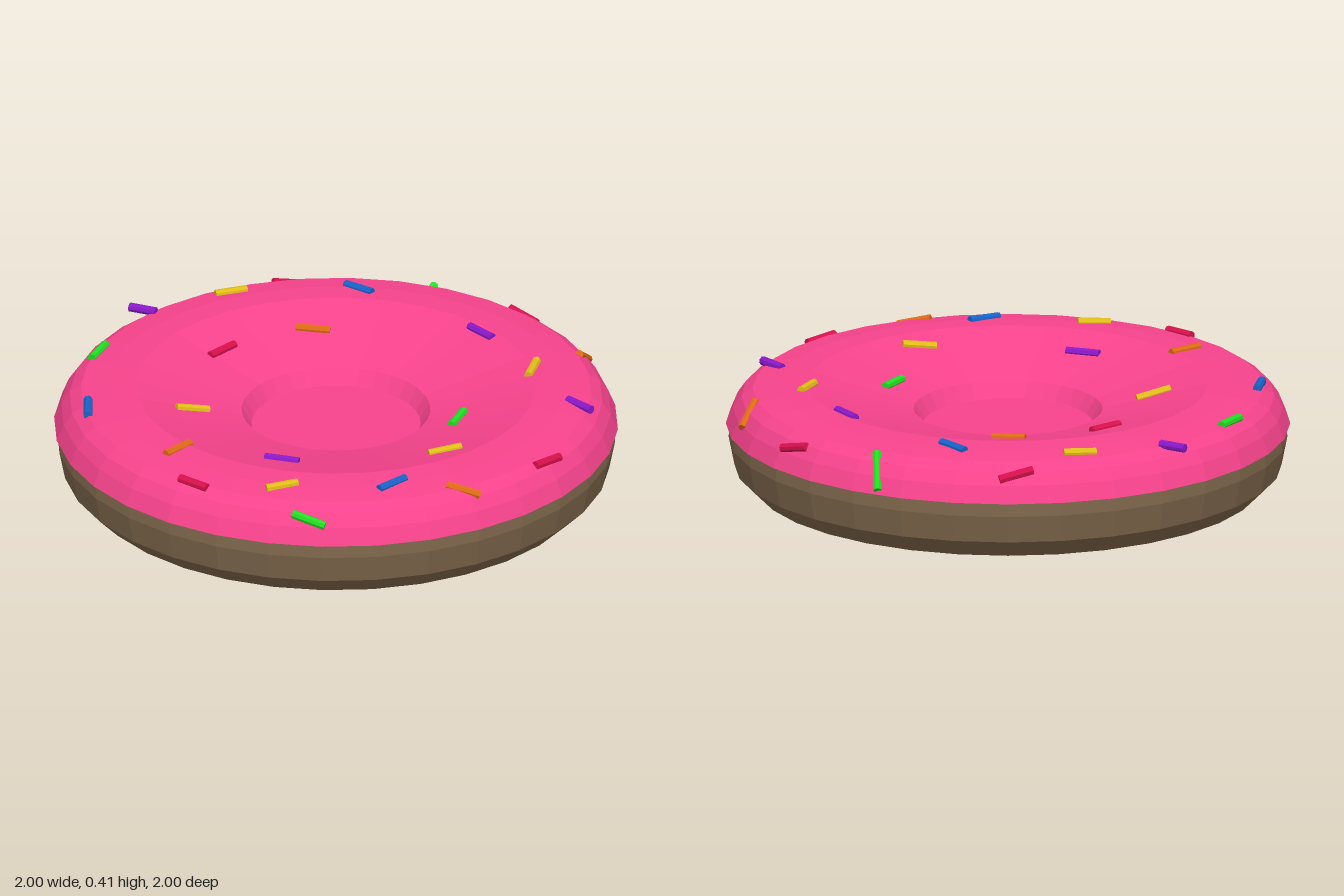
import * as THREE from 'three';

const SEGMENTS = 32;
const v2 = ([r, y]) => new THREE.Vector2(r, y);

// Profiles as [radius, height], running upwards so faces point outwards
const doughProfile = [[0.335, 0.125], [0.8, 0], [0.9, 0.03], [0.97, 0.1], [0.99, 0.2], [0.985, 0.26]];
const icingProfile = [
  [0.98, 0.25], [1, 0.25], [0.975, 0.31], [0.945, 0.352], [0.905, 0.38],
  [0.81, 0.393], [0.71, 0.397], [0.335, 0.305], [0.3, 0.25], [0, 0.25],
];
const innerProfile = [[0, 0.249], [0.3, 0.249], [0.335, 0.125]];

const colors = {
  red: 0xd8104c, green: 0x22dd22, blue: 0x1763c8,
  yellow: 0xe0bc18, purple: 0x8a18c8, orange: 0xdc6a14,
};

// Sprinkles: color, then x and z of both ends; a last number fixes the height
const sprinkles = [
  ['red', -0.44, -0.83, -0.34, -0.90],
  ['green', 0.09, -0.99, 0.13, -0.90],
  ['red', 0.42, -0.85, 0.53, -0.81],
  ['blue', -0.17, -0.81, -0.06, -0.76],
  ['yellow', -0.60, -0.63, -0.50, -0.69],
  ['purple', 0.34, -0.59, 0.44, -0.52],
  ['orange', 0.77, -0.60, 0.765, -0.49],
  ['orange', -0.27, -0.49, -0.15, -0.51],
  ['purple', -0.87, -0.46, -0.77, -0.445, 0.385],
  ['red', -0.51, -0.20, -0.45, -0.31],
  ['yellow', 0.64, -0.37, 0.64, -0.25],
  ['purple', 0.82, -0.11, 0.92, -0.05, 0.388],
  ['green', -0.88, -0.15, -0.90, -0.03],
  ['green', 0.46, -0.03, 0.445, 0.09],
  ['yellow', -0.52, 0.25, -0.42, 0.18],
  ['blue', -0.83, 0.30, -0.80, 0.42],
  ['yellow', 0.44, 0.40, 0.545, 0.34],
  ['red', 0.83, 0.40, 0.89, 0.29],
  ['orange', -0.45, 0.68, -0.39, 0.57],
  ['purple', -0.12, 0.555, 0.005, 0.555],
  ['blue', 0.35, 0.76, 0.42, 0.66],
  ['orange', 0.57, 0.66, 0.69, 0.645],
  ['yellow', -0.04, 0.85, 0.06, 0.79],
  ['red', -0.36, 0.83, -0.25, 0.875],
  ['green', 0.08, 0.945, 0.20, 0.95],
];

// Height of the icing at a distance from the axis
function icingHeight(r) {
  for (let i = 1; i < 7; i++) {
    const [r0, y0] = icingProfile[i];
    const [r1, y1] = icingProfile[i + 1];
    if (r <= r0 && r >= r1) return y0 + (y1 - y0) * (r0 - r) / (r0 - r1);
  }
  return 0.3;
}

function lathe(name, profile, color) {
  const mesh = new THREE.Mesh(
    new THREE.LatheGeometry(profile.map(v2), SEGMENTS),
    new THREE.MeshStandardMaterial({ color, flatShading: true, side: THREE.DoubleSide }),
  );
  mesh.name = name;
  return mesh;
}

// A short rod lying on the icing between two points
function sprinkle([color, x0, z0, x1, z1, y]) {
  const a = new THREE.Vector3(x0, y ?? icingHeight(Math.hypot(x0, z0)) + 0.002, z0);
  const b = new THREE.Vector3(x1, y ?? icingHeight(Math.hypot(x1, z1)) + 0.002, z1);
  const dir = b.clone().sub(a);
  const mesh = new THREE.Mesh(
    new THREE.CylinderGeometry(0.016, 0.016, dir.length(), 8),
    new THREE.MeshStandardMaterial({ color: colors[color], flatShading: true }),
  );
  mesh.position.copy(a).lerp(b, 0.5);
  mesh.quaternion.setFromUnitVectors(new THREE.Vector3(0, 1, 0), dir.normalize());
  mesh.name = `${color}Sprinkle`;
  return mesh;
}

export function createModel() {
  const model = new THREE.Group();
  model.name = 'donut';

  // Dough with a hollowed underside, icing with a closed centre, pink lower well
  model.add(lathe('dough', doughProfile, 0x7d664b));
  model.add(lathe('icing', icingProfile, 0xf7438c));
  model.add(lathe('lowerWell', innerProfile, 0xf7438c));

  const topping = new THREE.Group();
  topping.name = 'sprinkles';
  for (const s of sprinkles) topping.add(sprinkle(s));
  model.add(topping);
  return model;
}
